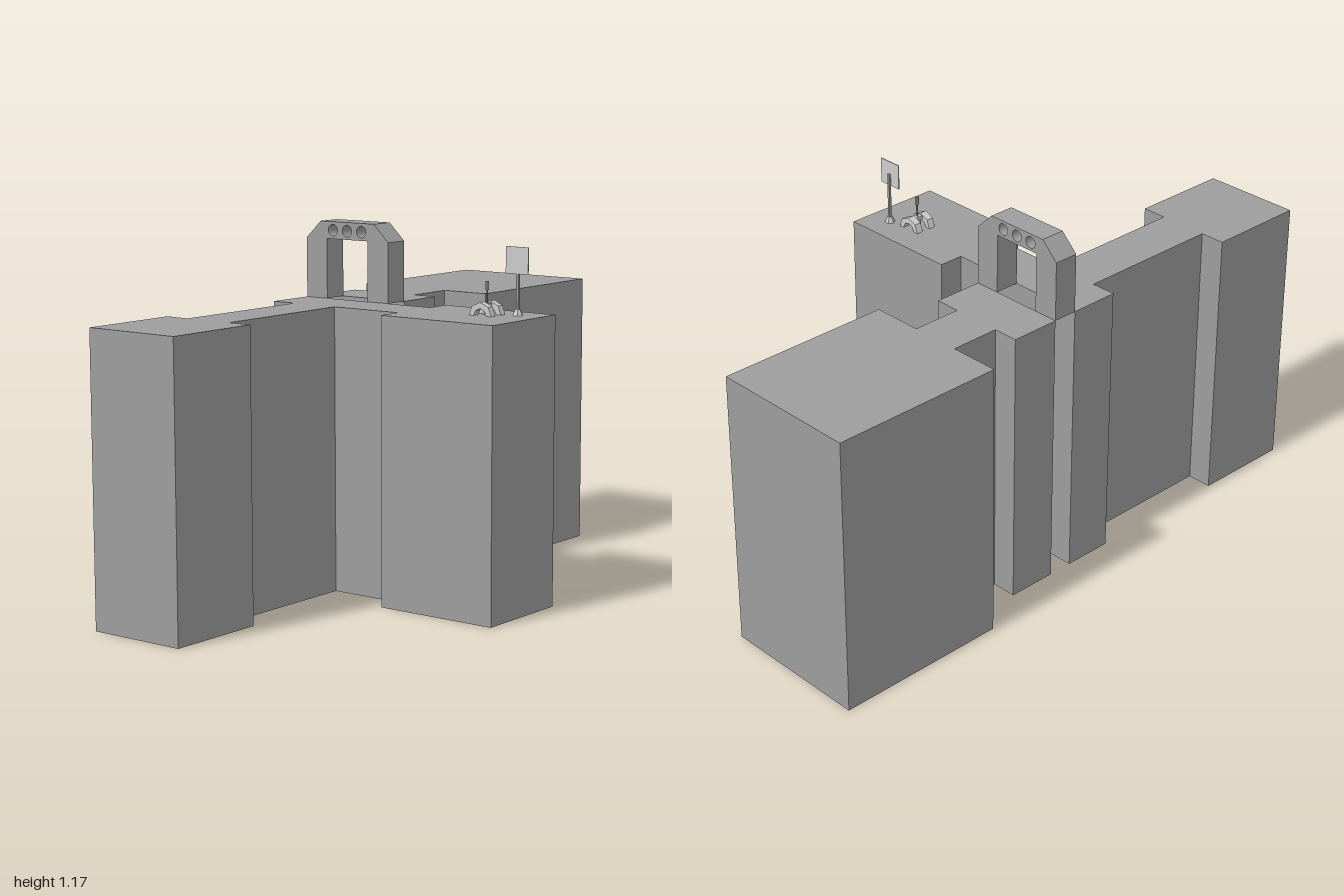
import * as THREE from 'three';

const makeMat = (color) => new THREE.MeshStandardMaterial({ color, flatShading: true, side: THREE.DoubleSide });
const light = makeMat(0xcccccc);
const dark = makeMat(0x9d9d9d);
const TOP = 0.917;

function add(parent, name, geo, mat, x = 0, y = 0, z = 0) {
  const m = new THREE.Mesh(geo, mat);
  m.name = name;
  m.position.set(x, y, z);
  parent.add(m);
}

const toShape = (pts) => new THREE.Shape(pts.map(([a, b]) => new THREE.Vector2(a, b)));

// Plateau open at the bottom: a flat top and a ring of walls along the [x, z] outline
function plateau(parent, name, pts) {
  const group = new THREE.Group();
  group.name = name;
  parent.add(group);
  const top = new THREE.ShapeGeometry(toShape(pts.map(([x, z]) => [x, -z])));
  add(group, 'top', top.rotateX(-Math.PI / 2), dark, 0, TOP, 0);
  const pos = [];
  pts.forEach(([ax, az], i) => {
    const [bx, bz] = pts[(i + 1) % pts.length];
    pos.push(ax, 0, az, ax, TOP, az, bx, TOP, bz, ax, 0, az, bx, TOP, bz, bx, 0, bz);
  });
  const walls = new THREE.BufferGeometry();
  walls.setAttribute('position', new THREE.Float32BufferAttribute(pos, 3));
  walls.computeVertexNormals();
  add(group, 'walls', walls, dark);
}

// Slab from a side outline [z, y], centred on x = 0
function sideSlab(shape, width) {
  const g = new THREE.ExtrudeGeometry(shape, { depth: width, bevelEnabled: false, curveSegments: 12 });
  return g.rotateY(-Math.PI / 2).translate(width / 2, 0, 0);
}

export function createModel() {
  const model = new THREE.Group();
  model.name = 'landscapeModel';

  // Two tall plateaus, separated by a narrow slot under the gate
  plateau(model, 'rightPlateau', [
    [-1, -0.417], [-0.666, -0.417], [-0.666, -0.333], [-0.167, -0.333], [-0.167, -0.417],
    [0, -0.417], [0, 0.083], [0.083, 0.083], [0.083, 0.5], [-0.25, 0.5], [-0.25, 0.083],
    [-0.167, 0.083], [-0.167, -0.167], [-0.666, -0.167], [-0.666, -0.083], [-1, -0.083],
  ]);
  plateau(model, 'leftPlateau', [
    [0.083, -0.417], [0.25, -0.417], [0.25, -0.333], [0.416, -0.333], [0.416, -0.5], [1, -0.5],
    [1, 0], [0.416, 0], [0.416, -0.167], [0.25, -0.167], [0.25, -0.083], [0.083, -0.083],
  ]);

  // Gate with bevelled shoulders and three round holes in its lintel
  const gate = toShape([
    [-0.167, 0], [-0.083, 0], [-0.083, 0.194], [-0.141, 0.25], [-0.359, 0.25], [-0.417, 0.194],
    [-0.417, 0], [-0.333, 0], [-0.333, 0.194], [-0.167, 0.194],
  ]);
  for (const z of [-0.192, -0.25, -0.308]) {
    gate.holes.push(new THREE.Path().absarc(z, 0.222, 0.019, 0, Math.PI * 2, true));
  }
  add(model, 'gate', sideSlab(gate, 0.083), dark, 0.0415, TOP, 0);

  // Small rig: two faceted arches, a cross bar and a mast
  const rig = new THREE.Group();
  rig.name = 'archRig';
  rig.position.set(-0.044, TOP, 0.334);
  model.add(rig);
  const arch = toShape([
    [-0.041, 0], [-0.031, 0.028], [0, 0.042], [0.031, 0.028], [0.041, 0],
    [0.024, 0], [0.017, 0.015], [0, 0.023], [-0.017, 0.015], [-0.024, 0],
  ]);
  for (const s of [-1, 1]) {
    add(rig, 'arch', sideSlab(arch, 0.024), light, s * 0.026, 0, 0);
    add(rig, 'footPeg', new THREE.CylinderGeometry(0.005, 0.006, 0.026, 6), light, 0, 0.013, s * 0.01);
  }
  add(rig, 'crossBar', new THREE.BoxGeometry(0.05, 0.012, 0.018), light, 0, 0.03, 0);
  add(rig, 'mast', new THREE.CylinderGeometry(0.003, 0.003, 0.06, 6), dark, 0, 0.06, 0);
  add(rig, 'mastHead', new THREE.CylinderGeometry(0.006, 0.006, 0.027, 6), dark, 0, 0.09, 0);

  // Sign: tapered foot, square post and thin panel
  const sign = new THREE.Group();
  sign.name = 'sign';
  sign.position.set(-0.002, TOP, 0.419);
  model.add(sign);
  add(sign, 'foot', new THREE.CylinderGeometry(0.009, 0.017, 0.019, 6), light, 0, 0.0095, 0);
  add(sign, 'post', new THREE.BoxGeometry(0.008, 0.168, 0.008), dark, 0, 0.084, 0);
  add(sign, 'panel', new THREE.BoxGeometry(0.003, 0.083, 0.083), light, -0.005, 0.169, 0);

  return model;
}
